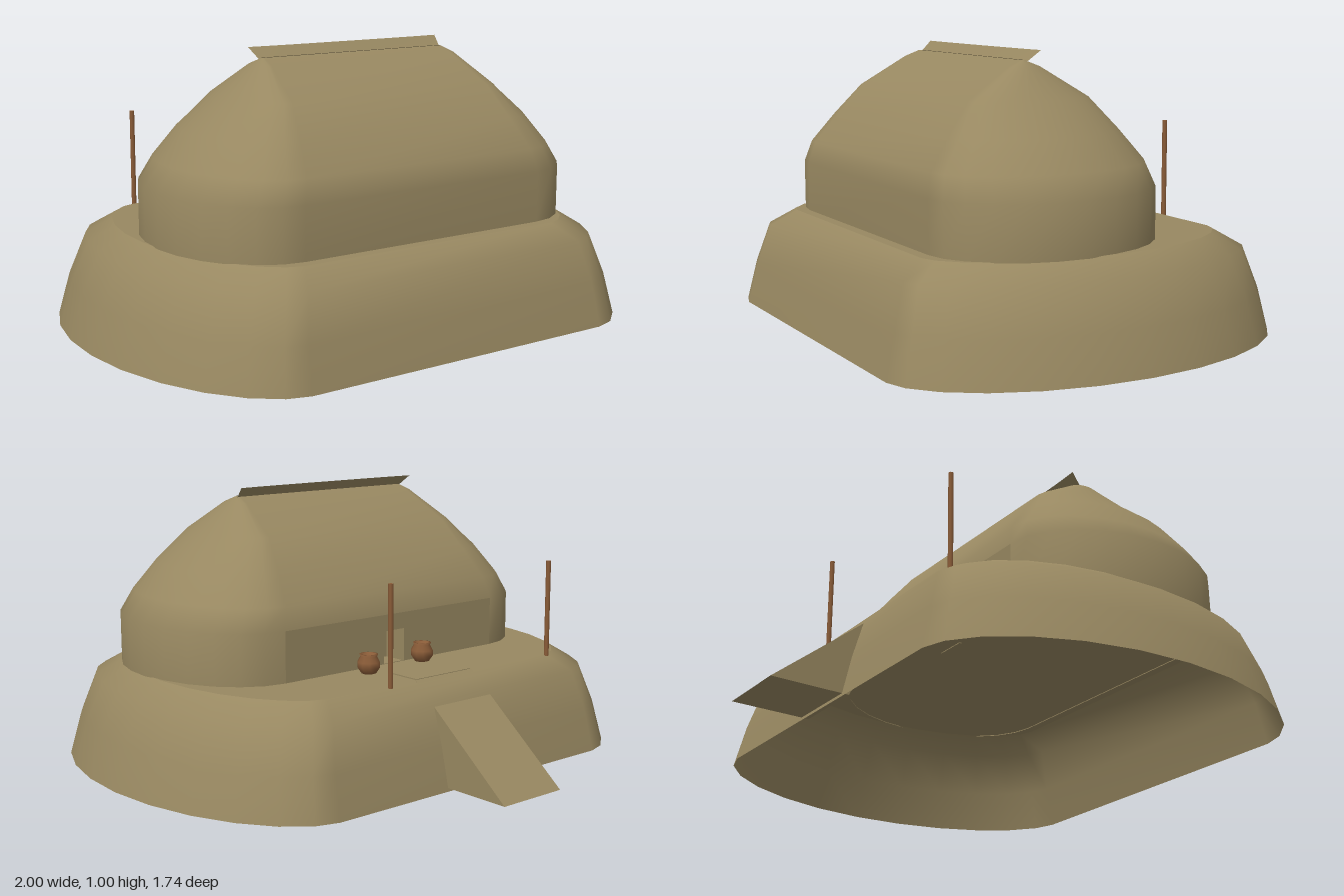
import * as THREE from 'three';

const SEG = 12;

// Long ring with straight front and back and bulging ends.
// hx: half length, s: half of the straight part, d: half depth, p: roundness of the ends
function ring([y, hx, s, d], cz, p) {
  const pts = [];
  for (const side of [1, -1]) {
    for (let i = 0; i <= SEG; i++) {
      const a = (-0.5 + i / SEG) * Math.PI * side;
      const c = Math.pow(Math.max(0, Math.cos(a)), p);
      pts.push([side * (s + (hx - s) * c), y, cz + d * Math.sin(a)]);
    }
  }
  return pts;
}

function build(points, index) {
  const g = new THREE.BufferGeometry();
  g.setAttribute('position', new THREE.Float32BufferAttribute(points.flat(), 3));
  g.setIndex(index);
  g.computeVertexNormals();
  return g;
}

// Joins rings into a smooth skin; gapInFirst leaves out the lowest back wall
function loft(rings, gapInFirst = false) {
  const n = rings[0].length, index = [];
  for (let r = 0; r < rings.length - 1; r++) {
    for (let i = 0; i < n; i++) {
      if (gapInFirst && r === 0 && i === n - 1) continue;
      const a = r * n + i, b = r * n + (i + 1) % n;
      index.push(a, a + n, b, b, a + n, b + n);
    }
  }
  return build(rings.flat(), index);
}

function cap(pts, cz) {
  const n = pts.length, index = [];
  for (let i = 0; i < n; i++) index.push(n, (i + 1) % n, i);
  return build([...pts, [0, pts[0][1], cz]], index);
}

export function createModel() {
  const model = new THREE.Group();
  const earth = new THREE.MeshStandardMaterial({ color: 0x988861, side: THREE.DoubleSide });
  earth.name = 'dry earth';
  const wood = new THREE.MeshStandardMaterial({ color: 0x8a5c38, side: THREE.DoubleSide });
  wood.name = 'brown wood';

  const add = (name, geometry, material, x = 0, y = 0, z = 0, parent = model) => {
    const mesh = new THREE.Mesh(geometry, material);
    mesh.name = name;
    mesh.position.set(x, y, z);
    parent.add(mesh);
    return mesh;
  };

  // Hollow mound with a flat top
  const moundZ = 0.13;
  const mound = [
    [0, 1, 0.62, 0.74], [0.15, 0.955, 0.61, 0.705],
    [0.3, 0.89, 0.58, 0.66], [0.358, 0.8, 0.53, 0.57],
  ].map((r) => ring(r, moundZ, 1.15));
  add('mound', loft(mound), earth);
  add('moundTop', cap(mound[3], moundZ), earth);

  // House with a rounded thatch roof
  const houseZ = 0.24;
  const house = [
    [0.355, 0.8, 0.5, 0.42], [0.54, 0.8, 0.5, 0.42], [0.62, 0.74, 0.48, 0.4],
    [0.725, 0.66, 0.45, 0.32], [0.835, 0.53, 0.42, 0.23],
    [0.94, 0.43, 0.39, 0.06], [0.962, 0.39, 0.385, 0.006],
  ].map((r) => ring(r, houseZ, 1));
  add('house', loft(house, true), earth);

  // Back wall with a doorway
  const backZ = houseZ - 0.42;
  const wall = new THREE.Shape();
  wall.moveTo(-0.5, 0.355).lineTo(0.5, 0.355).lineTo(0.5, 0.54).lineTo(-0.5, 0.54);
  const door = new THREE.Path();
  door.moveTo(-0.05, 0.36).lineTo(-0.05, 0.48).lineTo(0.05, 0.48).lineTo(0.05, 0.36);
  wall.holes.push(door);
  const wallGeometry = new THREE.ShapeGeometry(wall);
  wallGeometry.rotateY(Math.PI);
  add('backWall', wallGeometry, earth, 0, 0, backZ);

  // Door recess
  const recess = new THREE.Group();
  recess.name = 'doorway';
  model.add(recess);
  for (const s of [-1, 1]) {
    add('jamb', new THREE.BoxGeometry(0.008, 0.124, 0.1), earth, s * 0.054, 0.42, backZ + 0.051, recess);
  }
  add('lintel', new THREE.BoxGeometry(0.116, 0.008, 0.1), earth, 0, 0.484, backZ + 0.051, recess);
  add('doorPanel', new THREE.BoxGeometry(0.116, 0.13, 0.008), earth, 0, 0.42, backZ + 0.1, recess);

  // Tilted flap along the ridge, its ends flaring outwards
  const flap = new THREE.PlaneGeometry(0.8, 1, 8, 1);
  const fp = flap.attributes.position;
  for (let i = 0; i < fp.count; i++) {
    const t = fp.getY(i) + 0.5, u = fp.getX(i) / 0.4;
    const flare = Math.pow(Math.abs(u), 4) * 0.008;
    fp.setXYZ(i, u * (0.395 + 0.015 * t), 0.955 + 0.04 * t, 0.232 - 0.04 * t - flare * t);
  }
  flap.computeVertexNormals();
  add('ridgeFlap', flap, earth);

  // Ramp wedge leading up the back; profile drawn as (distance back, height)
  const side = new THREE.Shape();
  side.moveTo(0.44, 0.36).lineTo(0.87, 0.012).lineTo(0.58, 0.012);
  const ramp = new THREE.ExtrudeGeometry(side, { depth: 0.274, bevelEnabled: false });
  ramp.rotateY(Math.PI / 2);
  add('ramp', ramp, earth, -0.137);
  add('porch', new THREE.BoxGeometry(0.26, 0.006, 0.13), earth, 0, 0.359, -0.375);

  // Poles beside the ramp
  for (const x of [-0.53, 0.26]) {
    add('pole', new THREE.CylinderGeometry(0.009, 0.009, 0.36, 8), wood, x, 0.532, -0.448);
  }

  // Open pots near the door
  const profile = [
    [0, 0], [0.026, 0], [0.041, 0.022], [0.041, 0.042], [0.03, 0.062],
    [0.034, 0.07], [0.027, 0.07], [0.023, 0.058], [0, 0.035],
  ].map(([r, y]) => new THREE.Vector2(r, y));
  const potGeometry = new THREE.LatheGeometry(profile, 10);
  for (const [x, z] of [[-0.1, -0.222], [0.18, -0.245]]) {
    add('pot', potGeometry, wood, x, 0.357, z);
  }

  return model;
}
